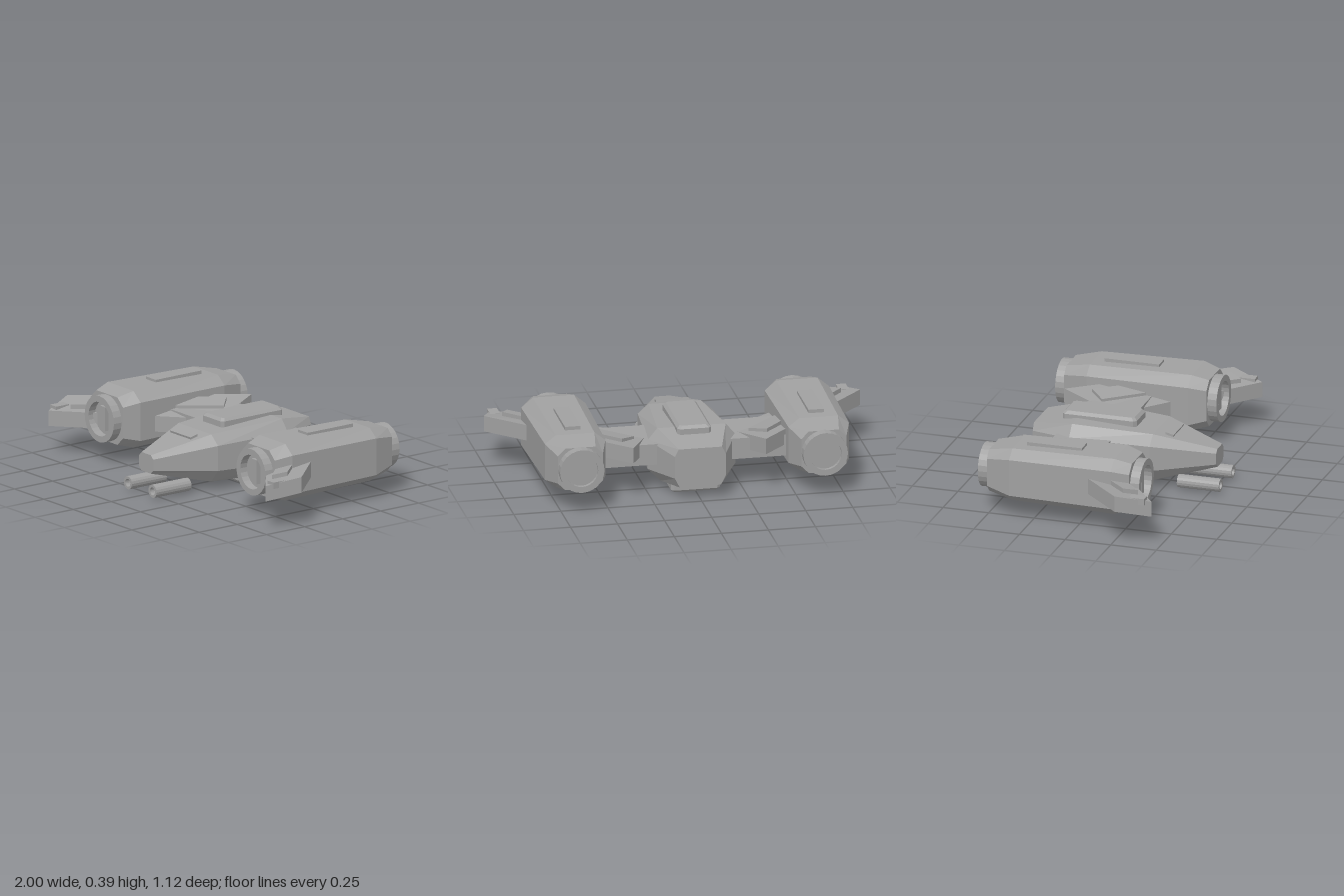
import * as THREE from 'three';

const hull = new THREE.MeshStandardMaterial({ color: 0xa0a0a0 });
hull.name = 'hull grey';

// Skin a row of closed rings with flat faces and end caps; s = -1 mirrors in x.
function loft(rings, s = 1) {
  const R = rings.map(r => {
    const m = r.map(([x, y, z]) => [x * s, y, z]);
    return s < 0 ? m.reverse() : m;
  });
  const n = R[0].length, pos = [];
  const tri = (a, b, c) => pos.push(...a, ...b, ...c);
  for (let i = 0; i < R.length - 1; i++) {
    for (let k = 0; k < n; k++) {
      const j = (k + 1) % n;
      tri(R[i][k], R[i + 1][k], R[i + 1][j]);
      tri(R[i][k], R[i + 1][j], R[i][j]);
    }
  }
  const first = R[0], last = R[R.length - 1];
  for (let k = 1; k < n - 1; k++) {
    tri(first[0], first[k], first[k + 1]);
    tri(last[0], last[k + 1], last[k]);
  }
  const g = new THREE.BufferGeometry();
  g.setAttribute('position', new THREE.Float32BufferAttribute(pos, 3));
  g.computeVertexNormals();
  return g;
}

// Eight-sided hull section across z.
const section = (z, w, top, bottom, yTop, yUp, yLow, yBottom) => [
  [w, yLow, z], [w, yUp, z], [top, yTop, z], [-top, yTop, z],
  [-w, yUp, z], [-w, yLow, z], [-bottom, yBottom, z], [bottom, yBottom, z],
];

// Rectangle with clipped corners, lying level.
const clipped = (w, z0, z1, y, c) => [
  [w, y, z1 - c], [w, y, z0 + c], [w - c, y, z0], [-w + c, y, z0],
  [-w, y, z0 + c], [-w, y, z1 - c], [-w + c, y, z1], [w - c, y, z1],
];

// Flat-sided turned part along z.
function turned(points, sides, forward = true) {
  let g = new THREE.LatheGeometry(points.map(p => new THREE.Vector2(...p)), sides);
  g.rotateX(forward ? Math.PI / 2 : -Math.PI / 2);
  g = g.toNonIndexed();
  g.computeVertexNormals();
  return g;
}

function add(parent, name, geometry, x = 0, y = 0, z = 0) {
  const m = new THREE.Mesh(geometry, hull);
  m.name = name;
  m.position.set(x, y, z);
  parent.add(m);
  return m;
}

export function createModel() {
  const ship = new THREE.Group();
  ship.name = 'spacecraft';

  // Fuselage with canopy, nose hatch and belly plate
  add(ship, 'fuselage', loft([
    section(0.52, 0.06, 0.04, 0.04, 0.22, 0.2, 0.14, 0.12),
    section(0.2, 0.197, 0.14, 0.14, 0.3, 0.25, 0.115, 0.045),
    section(-0.23, 0.233, 0.182, 0.165, 0.322, 0.26, 0.1, 0.03),
    section(-0.46, 0.135, 0.115, 0.11, 0.28, 0.24, 0.12, 0.07),
  ]));
  add(ship, 'canopy', loft([
    clipped(0.075, -0.3, 0.075, 0.352, 0.012),
    clipped(0.09, -0.315, 0.09, 0.337, 0.015),
    clipped(0.09, -0.315, 0.09, 0.295, 0.015),
  ]));
  add(ship, 'noseHatch', new THREE.BoxGeometry(0.176, 0.02, 0.045), 0, 0.284, 0.272)
    .rotation.x = 0.25;
  add(ship, 'bellyPlate', loft([
    clipped(0.13, -0.347, 0.005, 0.05, 0.015),
    clipped(0.13, -0.347, 0.005, 0.012, 0.015),
    clipped(0.118, -0.337, -0.005, 0, 0.012),
  ]));

  for (const s of [1, -1]) {
    const side = new THREE.Group();
    side.name = s > 0 ? 'leftSide' : 'rightSide';
    ship.add(side);

    // Chin gun barrel, hollow at both ends
    add(side, 'gunBarrel', turned([
      [0, 0.02], [0.021, 0.02], [0.021, 0], [0.035, 0],
      [0.035, 0.23], [0.021, 0.23], [0.021, 0.19], [0, 0.19],
    ], 16), s * 0.105, 0.046, 0.33);

    // Spar joining fuselage and engine
    add(side, 'spar', new THREE.BoxGeometry(0.36, 0.113, 0.3), s * 0.34, 0.207, -0.16);

    // Swept wing running through the engine, ending in a raked tip
    add(side, 'wing', loft([
      [[0.925, 0.153, 0.45], [0.925, 0.236, 0.45], [1, 0.272, 0.27], [1, 0.187, 0.27]],
      [[0.21, 0.165, -0.12], [0.21, 0.25, -0.12], [0.353, 0.3, -0.445], [0.353, 0.215, -0.445]],
    ].map(r => r.reverse()), s));
    add(side, 'wingPanel', loft([
      [[0.86, 0.23, 0.355], [0.86, 0.267, 0.355], [0.9, 0.282, 0.285], [0.9, 0.245, 0.285]],
      [[0.305, 0.24, -0.225], [0.305, 0.285, -0.225], [0.385, 0.305, -0.305], [0.385, 0.26, -0.305]],
    ].map(r => r.reverse()), s));
    add(side, 'tipGun', new THREE.BoxGeometry(0.052, 0.035, 0.085), s * 0.927, 0.239, 0.375);

    // Engine pod with intake, exhaust and top plate
    const engine = new THREE.Group();
    engine.name = 'engine';
    engine.position.set(s * 0.647, 0.231, 0);
    side.add(engine);
    add(engine, 'pod', loft([
      section(0.28, 0.138, 0.09, 0.09, 0.128, 0.083, -0.083, -0.128),
      section(0.19, 0.171, 0.11, 0.11, 0.153, 0.102, -0.105, -0.153),
      section(-0.37, 0.161, 0.103, 0.103, 0.143, 0.098, -0.1, -0.143),
      section(-0.505, 0.12, 0.08, 0.08, 0.115, 0.075, -0.075, -0.115),
    ]));
    add(engine, 'intakeRing', turned([
      [0.125, 0], [0.125, 0.05], [0.092, 0.05], [0.092, 0.006], [0, 0.006],
    ], 24), 0, 0, 0.28);
    add(engine, 'intakeVane', new THREE.BoxGeometry(0.045, 0.13, 0.03), 0, 0, 0.295);
    add(engine, 'exhaustRing', turned([
      [0.118, 0], [0.118, 0.055], [0.085, 0.055], [0.085, 0.035], [0, 0.035],
    ], 24, false), 0, 0, -0.5);
    add(engine, 'topPlate', new THREE.BoxGeometry(0.082, 0.03, 0.3), 0, 0.148, -0.16);
  }
  return ship;
}
